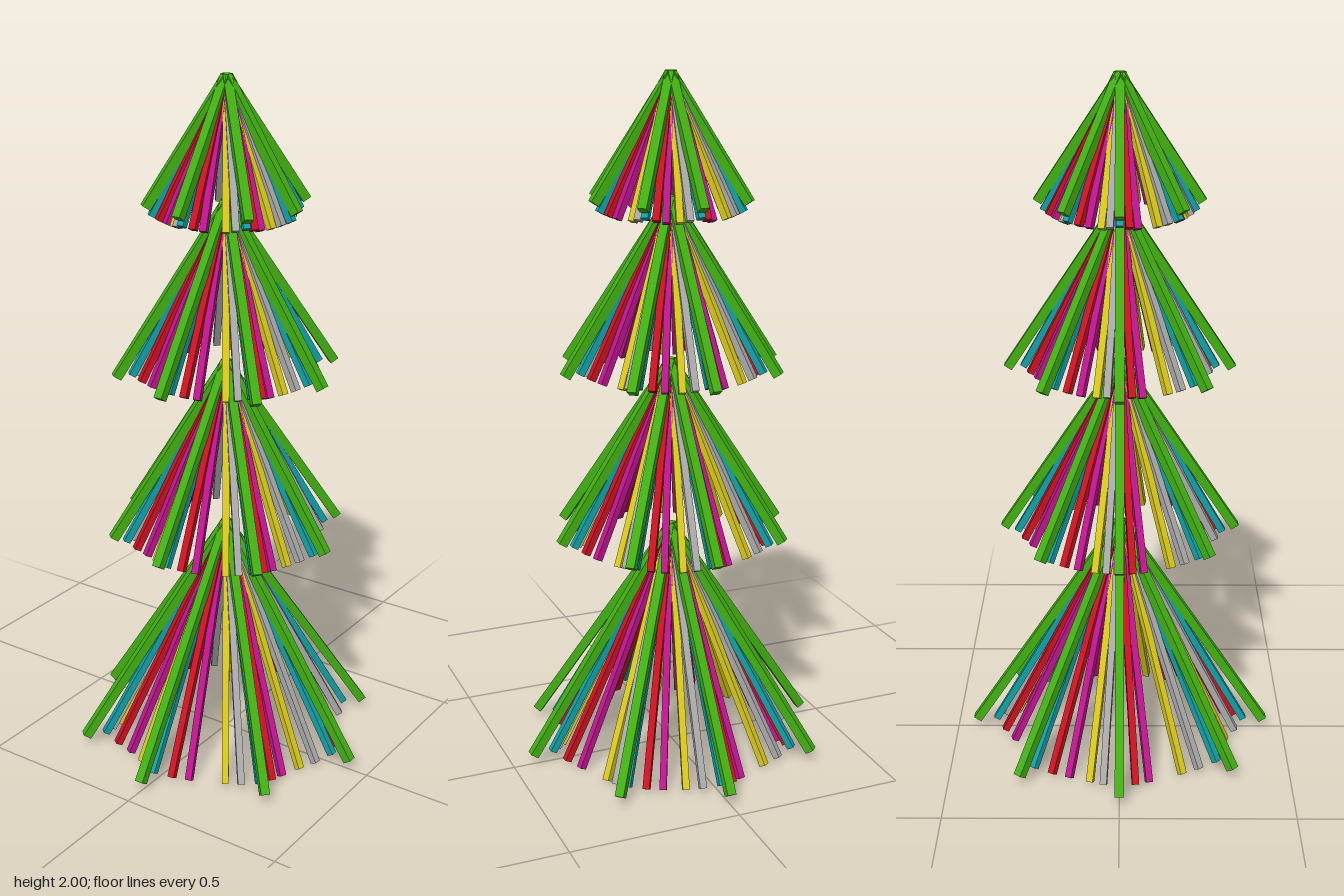
import * as THREE from 'three';

const deg = THREE.MathUtils.degToRad;

// Rods of one spray: colour, sideways offset and tilt from vertical in degrees, thickness
const RODS = [
  { name: 'greenRod', color: 0x42b012, turn: 0, tilt: 33.5, size: 0.026 },
  { name: 'tealRod', color: 0x12a2a8, turn: 0, tilt: 29.8, size: 0.02 },
  { name: 'redRod', color: 0xcc1122, turn: 7.5, tilt: 27.6, size: 0.02 },
  { name: 'greyRod', color: 0xaaaaaa, turn: -7.5, tilt: 27.6, size: 0.02 },
  { name: 'magentaRod', color: 0xc01590, turn: 15, tilt: 25.7, size: 0.02 },
  { name: 'yellowRod', color: 0xd8c81a, turn: -15, tilt: 25.7, size: 0.02 },
];

// Tiers from top to bottom: apex height, length of green rods, length of the others
const TIERS = [
  { apex: 1.993, green: 0.412, other: 0.425 },
  { apex: 1.653, green: 0.578, other: 0.553 },
  { apex: 1.19, green: 0.615, other: 0.608 },
  { apex: 0.693, green: 0.797, other: 0.765 },
];

// Directions of the eight sprays around the axis
const SPRAYS = [0, 90, 180, 270].flatMap((a) => [a, a + 48.7]);

export function createModel() {
  const tree = new THREE.Group();
  tree.name = 'tree';
  const materials = RODS.map((r) => new THREE.MeshStandardMaterial({ color: r.color }));

  TIERS.forEach((tier, t) => {
    const group = new THREE.Group();
    group.name = `tier${t + 1}`;
    group.position.y = tier.apex;

    RODS.forEach((rod, i) => {
      // Square rod hanging from the apex
      const length = i === 0 ? tier.green : tier.other;
      const geometry = new THREE.BoxGeometry(rod.size, length, rod.size);
      geometry.translate(0, -length / 2, 0);
      for (const angle of SPRAYS) {
        const mesh = new THREE.Mesh(geometry, materials[i]);
        mesh.name = rod.name;
        mesh.rotation.set(0, deg(angle + rod.turn), deg(rod.tilt), 'YZX');
        group.add(mesh);
      }
    });
    tree.add(group);
  });
  return tree;
}
